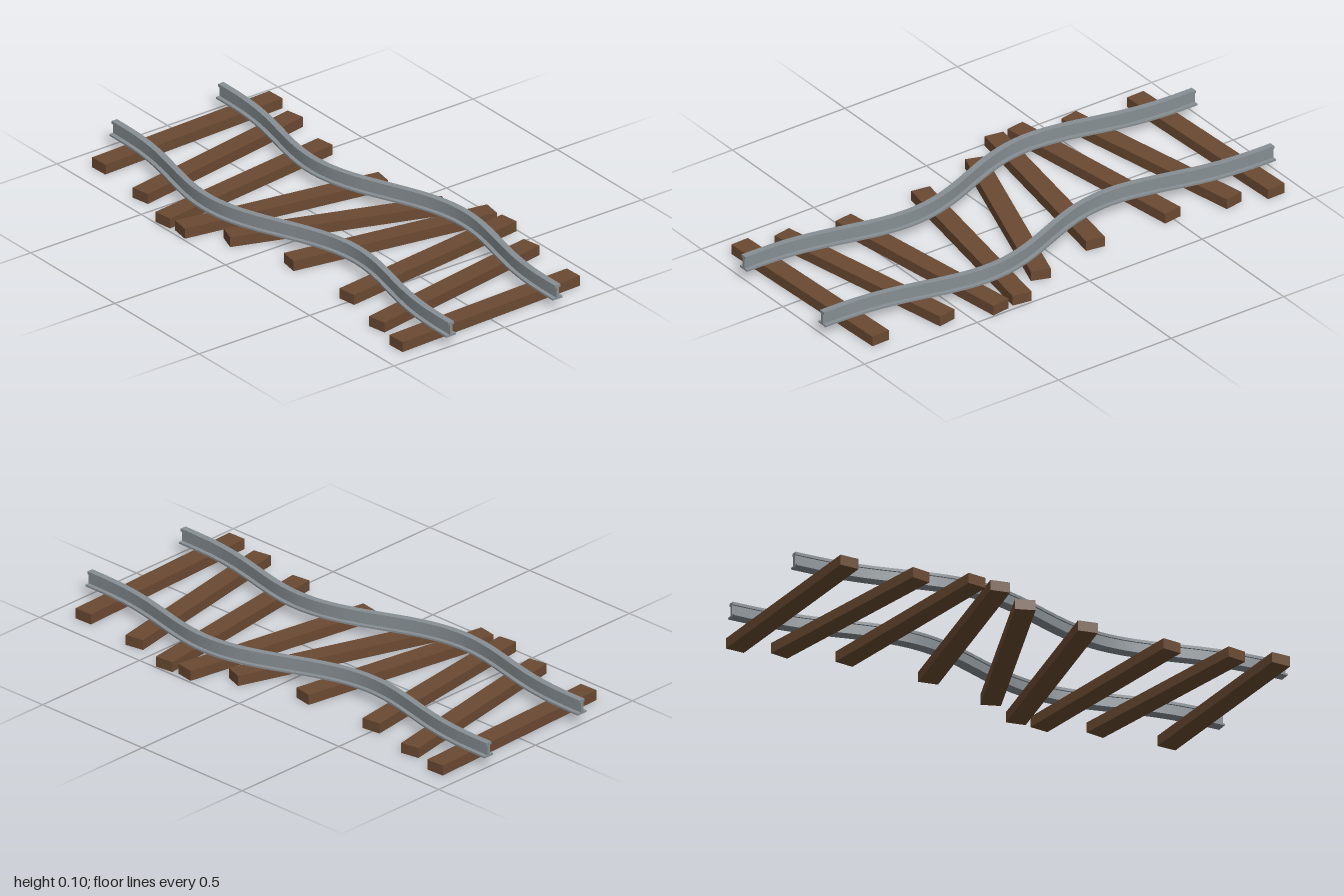
import * as THREE from 'three';

const wood = new THREE.MeshStandardMaterial({ color: 0x6b4a32 });
wood.name = 'sleeper wood';
const steel = new THREE.MeshStandardMaterial({ color: 0x878f94 });
steel.name = 'rail steel';

// sideways sway of the track along z, and its slope
const SWAY = 0.1386;
const sway = z => SWAY * Math.sin(Math.PI * z) * (1 + Math.cos(Math.PI * z)) / 2;
const slope = z => SWAY * Math.PI / 2 * (Math.cos(Math.PI * z) + Math.cos(2 * Math.PI * z));

// straight bar bent along the sway curve, its section kept square to the curve
function bentBar(width, y0, y1) {
  const geo = new THREE.BoxGeometry(width, y1 - y0, 2, 1, 1, 72);
  const p = geo.attributes.position;
  for (let i = 0; i < p.count; i++) {
    const x = p.getX(i), z = p.getZ(i);
    const a = Math.atan(slope(z));
    p.setXYZ(i, sway(z) + x * Math.cos(a), p.getY(i) + (y0 + y1) / 2, z - x * Math.sin(a));
  }
  geo.computeVertexNormals();
  return geo;
}

export function createModel() {
  const track = new THREE.Group();
  track.name = 'railTrack';

  // I-section rails: foot, web and head
  const sections = [
    ['railFoot', bentBar(0.044, 0.04, 0.047)],
    ['railWeb', bentBar(0.012, 0.047, 0.086)],
    ['railHead', bentBar(0.025, 0.086, 0.097)],
  ];
  for (const side of [-1, 1]) {
    const rail = new THREE.Group();
    rail.name = side > 0 ? 'leftRail' : 'rightRail';
    rail.position.x = side * 0.241;
    for (const [name, geo] of sections) {
      const mesh = new THREE.Mesh(geo, steel);
      mesh.name = name;
      rail.add(mesh);
    }
    track.add(rail);
  }

  // sleepers, turned by the sway
  const sleeperGeo = new THREE.BoxGeometry(0.825, 0.04, 0.075);
  for (let i = -4; i <= 4; i++) {
    const z = i * 0.22;
    const sleeper = new THREE.Mesh(sleeperGeo, wood);
    sleeper.name = 'sleeper';
    sleeper.position.set(sway(z), 0.02, z);
    sleeper.rotation.y = -0.82 * Math.atan(slope(z));
    track.add(sleeper);
  }
  return track;
}
